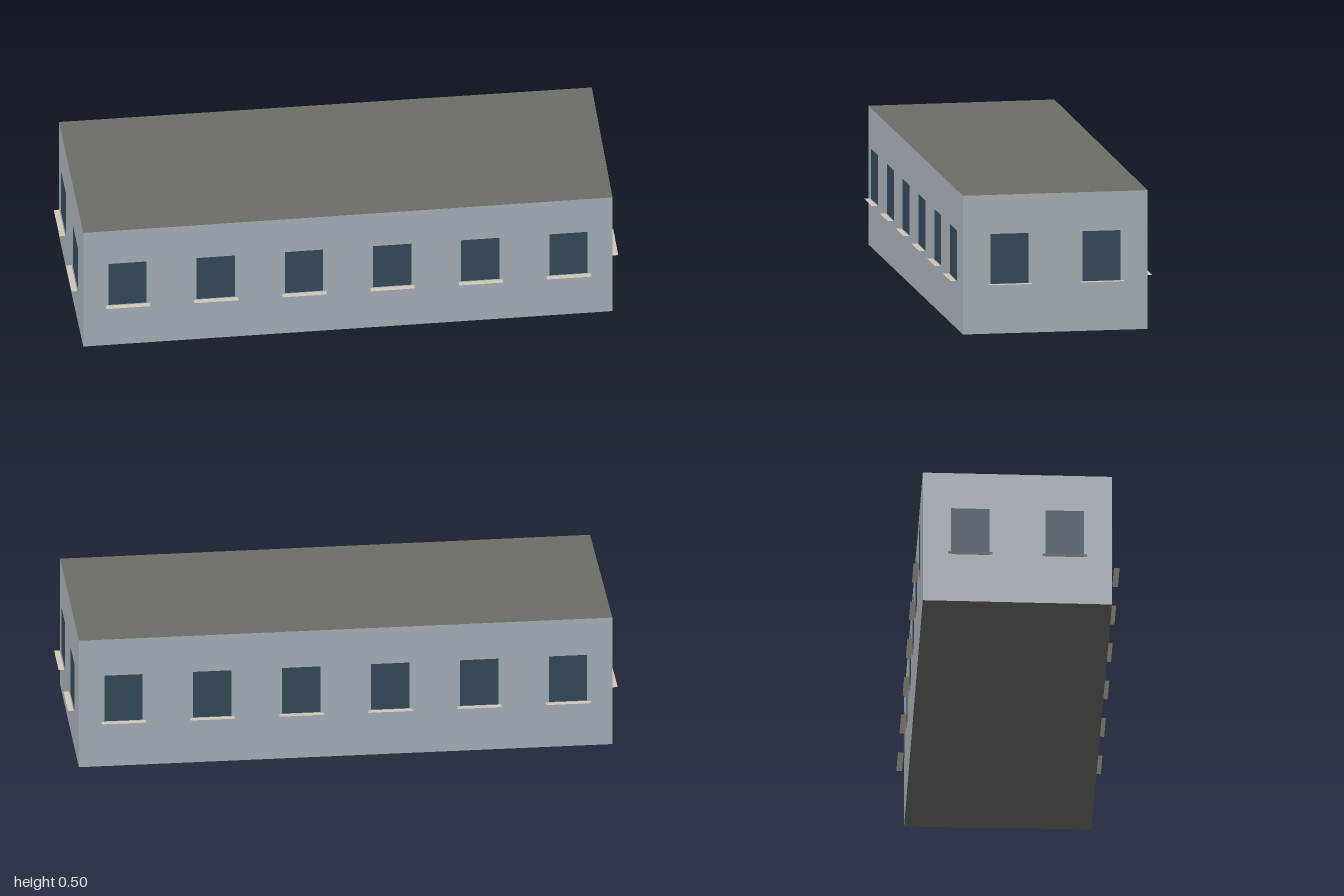
import * as THREE from 'three';

const HEIGHT = 0.497;
// Footprint corners (x, z), counter-clockwise from the front right corner
const CORNERS = [[-0.867, 0.486], [0.985, 0.166], [0.874, -0.486], [-0.991, -0.171]];
const WINDOWS_PER_WALL = [6, 2, 6, 2];
const SILL_Y = 0.179, WINDOW_W = 0.136, WINDOW_H = 0.179;

const paint = (color, side = THREE.FrontSide) => new THREE.MeshStandardMaterial({ color, side });

function addMesh(parent, name, geometry, material) {
  const mesh = new THREE.Mesh(geometry, material);
  mesh.name = name;
  parent.add(mesh);
  return mesh;
}

export function createModel() {
  const model = new THREE.Group();
  model.name = 'building';
  const wall = paint(0xa8b0b8), roof = paint(0x6b6d66);
  const glass = paint(0x34495a, THREE.DoubleSide), stone = paint(0xd0c8b8, THREE.DoubleSide);

  // Body: walls with flat roof and floor
  const footprint = new THREE.Shape(CORNERS.map(([x, z]) => new THREE.Vector2(x, -z)));
  const body = new THREE.ExtrudeGeometry(footprint, { depth: HEIGHT, bevelEnabled: false });
  body.rotateX(-Math.PI / 2);
  addMesh(model, 'body', body, [roof, wall]);

  // Each pane stands just off the wall, above a thin flat sill
  const pane = new THREE.PlaneGeometry(WINDOW_W, WINDOW_H).translate(0, SILL_Y + WINDOW_H / 2, 0.006);
  const sill = new THREE.PlaneGeometry(0.157, 0.02).rotateX(-Math.PI / 2).translate(0, SILL_Y, 0.02);

  // Windows evenly spaced along every wall
  CORNERS.forEach(([x0, z0], side) => {
    const [x1, z1] = CORNERS[(side + 1) % 4];
    const count = WINDOWS_PER_WALL[side];
    for (let i = 0; i < count; i++) {
      const t = (i + 0.5) / count;
      const unit = new THREE.Group();
      unit.name = 'window';
      unit.position.set(x0 + (x1 - x0) * t, 0, z0 + (z1 - z0) * t);
      unit.rotation.y = Math.atan2(z0 - z1, x1 - x0);
      addMesh(unit, 'windowPane', pane, glass);
      addMesh(unit, 'windowSill', sill, stone);
      model.add(unit);
    }
  });
  return model;
}
